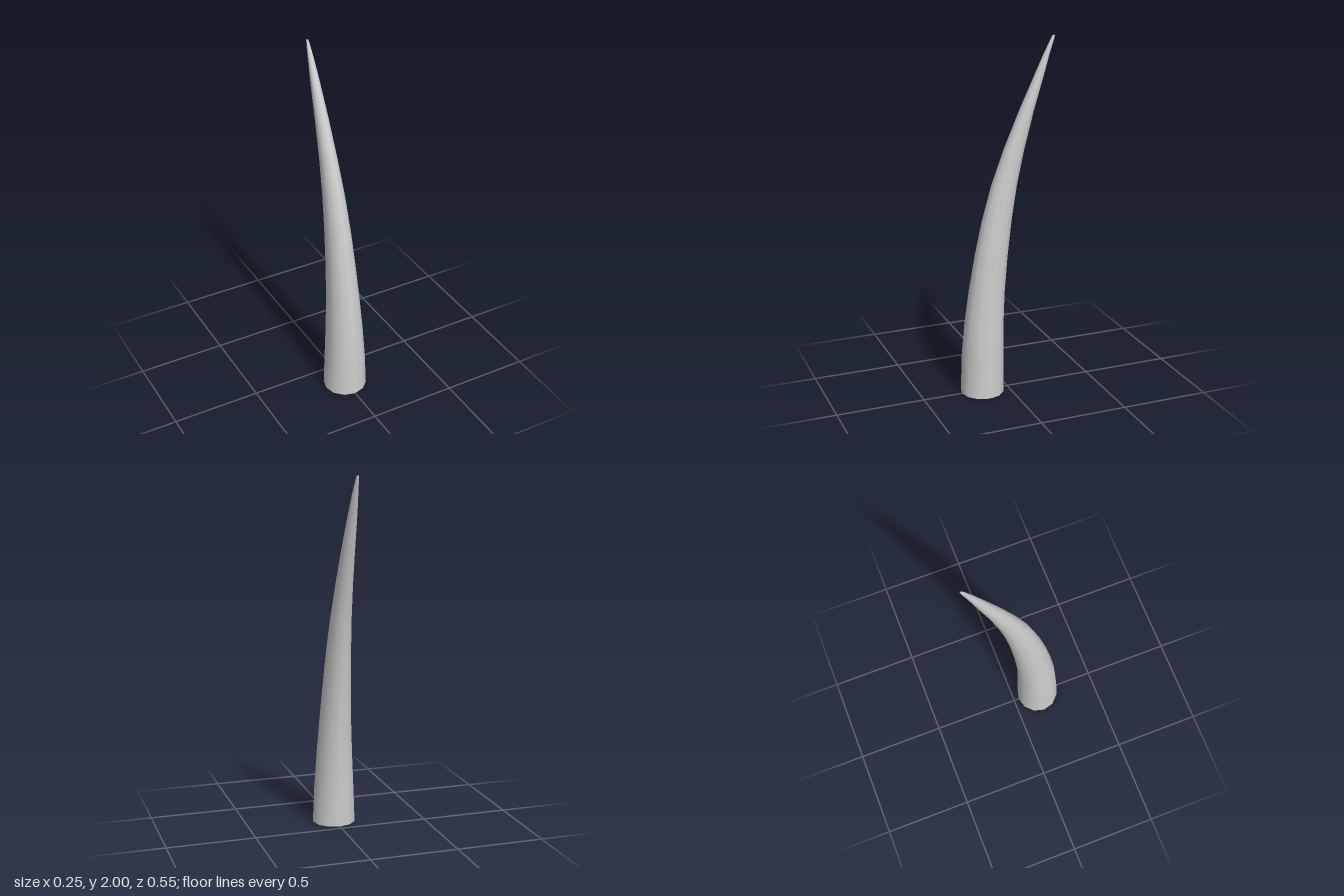
import * as THREE from 'three';

const SIDES = 12;

// Horizontal sections from root to tip: [height, front z, back z, half width]
const SECTIONS = [
  [0.0, 0.275, 0.03, 0.123],
  [0.2, 0.27, 0.029, 0.114],
  [0.4, 0.253, 0.027, 0.102],
  [0.6, 0.225, 0.018, 0.09],
  [0.8, 0.19, 0.0, 0.079],
  [1.0, 0.146, -0.024, 0.069],
  [1.2, 0.09, -0.056, 0.058],
  [1.4, 0.016, -0.1, 0.047],
  [1.6, -0.07, -0.153, 0.037],
  [1.8, -0.163, -0.214, 0.025],
  [1.9, -0.21, -0.243, 0.017],
  [1.98, -0.25, -0.27, 0.009],
  [2.0, -0.262, -0.275, 0.005],
];

// Point on the section outline, starting at the front (+z)
function outline([y, front, back, halfWidth], i) {
  const a = (i / SIDES) * Math.PI * 2;
  return [Math.sin(a) * halfWidth, y, (front + back) / 2 + Math.cos(a) * (front - back) / 2];
}

// Closed surface through a list of sections, sharing vertices for smooth normals
function loft(sections) {
  const positions = [];
  const index = [];
  sections.forEach((s, r) => {
    for (let i = 0; i < SIDES; i++) {
      positions.push(...outline(s, i));
      if (r === 0) continue;
      const j = (i + 1) % SIDES;
      const a = (r - 1) * SIDES + i, b = (r - 1) * SIDES + j;
      const c = r * SIDES + j, d = r * SIDES + i;
      index.push(a, b, c, a, c, d);
    }
  });
  // Small fan closing the tip
  const [y, front, back] = sections[sections.length - 1];
  const top = (sections.length - 1) * SIDES;
  const apex = positions.length / 3;
  positions.push(0, y, (front + back) / 2);
  for (let i = 0; i < SIDES; i++) index.push(top + i, top + (i + 1) % SIDES, apex);

  const geometry = new THREE.BufferGeometry();
  geometry.setAttribute('position', new THREE.Float32BufferAttribute(positions, 3));
  geometry.setIndex(index);
  geometry.computeVertexNormals();
  return geometry;
}

export function createModel() {
  const group = new THREE.Group();
  group.name = 'tusk';
  const material = new THREE.MeshStandardMaterial({ color: 0xcccccc });

  // Curved, tapering body
  const body = new THREE.Mesh(loft(SECTIONS), material);
  body.name = 'tuskBody';
  group.add(body);

  // Flat underside of the root
  const [, front, back, halfWidth] = SECTIONS[0];
  const base = new THREE.Mesh(new THREE.CircleGeometry(1, SIDES), material);
  base.name = 'rootCap';
  base.rotation.x = Math.PI / 2;
  base.scale.set(halfWidth, (front - back) / 2, 1);
  base.position.z = (front + back) / 2;
  group.add(base);

  return group;
}
